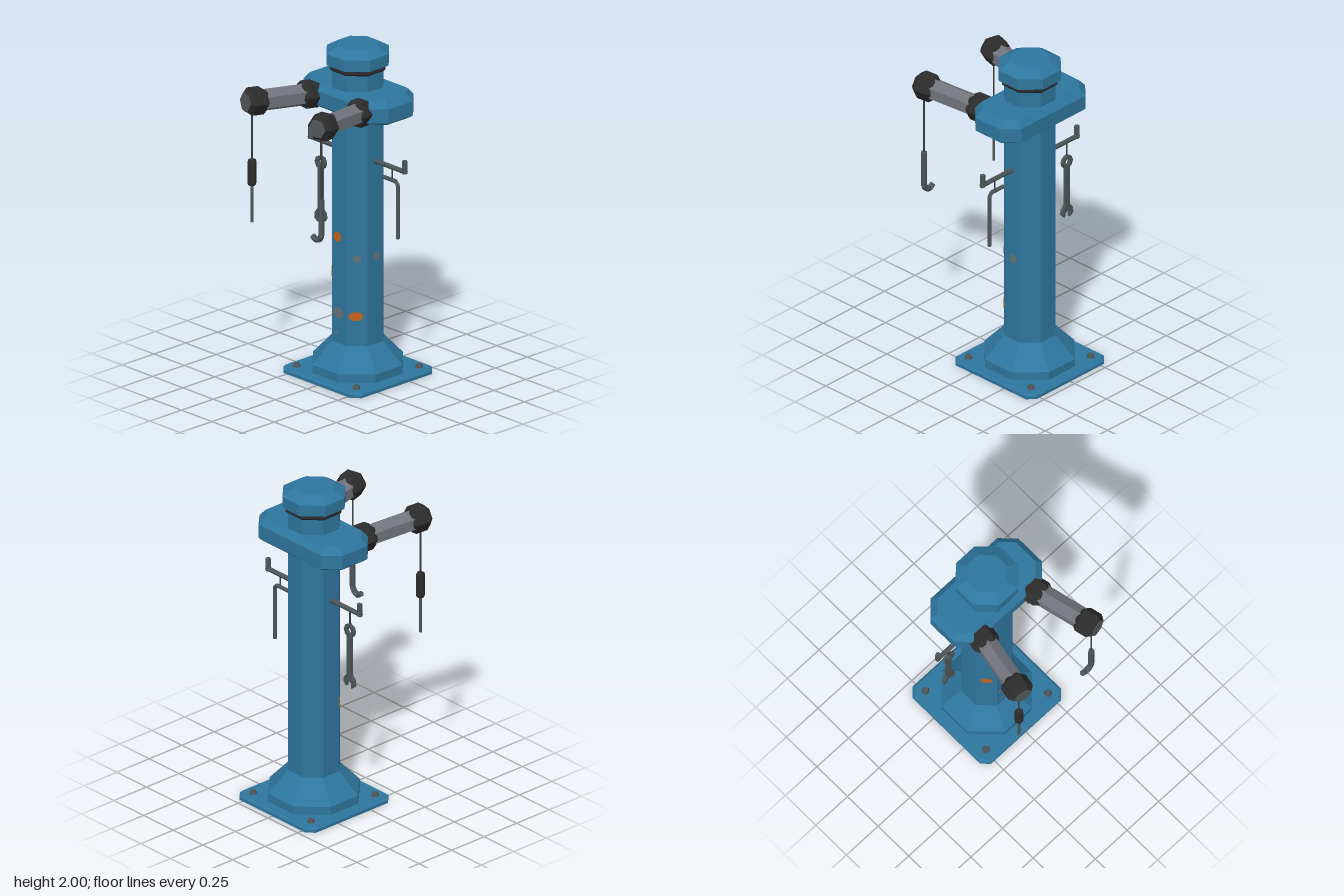
import * as THREE from 'three';

const mat = (name, color) => {
  const m = new THREE.MeshStandardMaterial({ color });
  m.name = name;
  return m;
};
const V = (x, y, z) => new THREE.Vector3(x, y, z);
const CZ = -0.146; // z of the column axis

export function createModel() {
  const blue = mat('bluePaint', 0x2e769e);
  const rubber = mat('blackRubber', 0x2c2c2c);
  const grey = mat('greySleeve', 0x70737c);
  const steel = mat('darkSteel', 0x4e5558);
  const wire = mat('wire', 0x3a3e40);
  const rust = mat('rust', 0xc4601c);
  const bare = mat('bareMetal', 0x66727a);

  const root = new THREE.Group();
  root.name = 'toolPost';

  // Adds a faceted mesh
  function add(name, geo, material, parent = root) {
    const g = geo.index ? geo.toNonIndexed() : geo;
    g.computeVertexNormals();
    const m = new THREE.Mesh(g, material);
    m.name = name;
    parent.add(m);
    return m;
  }

  // Faceted turned solid; profile runs bottom to top as [radius, height]
  const turned = (profile, sides, start) =>
    new THREE.LatheGeometry(profile.map(([r, y]) => new THREE.Vector2(r, y)), sides, start);

  // Eight-sided solid with flats to the front; profile gives flat-to-axis distance
  function octagon(name, profile, material) {
    const k = 1 / Math.cos(Math.PI / 8);
    add(name, turned(profile.map(([a, y]) => [a * k, y]), 8, Math.PI / 8), material).position.z = CZ;
  }

  // Slab from stacked rectangles with cut corners: [halfX, halfZ, cut, y]
  function slab(name, rings, material, z) {
    const pos = [], idx = [];
    for (const [w, d, c, y] of rings)
      for (const [x, zz] of [[w - c, d], [w, d - c], [w, c - d], [w - c, -d],
        [c - w, -d], [-w, c - d], [-w, d - c], [c - w, d]]) pos.push(x, y, zz);
    const top = (rings.length - 1) * 8;
    for (let r = 0; r < top; r += 8)
      for (let i = 0; i < 8; i++) {
        const j = (i + 1) % 8;
        idx.push(r + i, r + j, r + 8 + j, r + i, r + 8 + j, r + 8 + i);
      }
    for (let i = 1; i < 7; i++) idx.push(0, i + 1, i, top, top + i, top + i + 1);
    const g = new THREE.BufferGeometry();
    g.setAttribute('position', new THREE.Float32BufferAttribute(pos, 3));
    g.setIndex(idx);
    add(name, g, material).position.z = z;
  }

  // Straight bars joined along a list of points
  function bars(name, points, r, material, sides = 6, parent = root) {
    for (let i = 0; i < points.length - 1; i++) {
      const [a, b] = [points[i], points[i + 1]];
      const dir = b.clone().sub(a);
      const m = add(name, new THREE.CylinderGeometry(r, r, dir.length(), sides), material, parent);
      m.position.copy(a).add(b).multiplyScalar(0.5);
      m.quaternion.setFromUnitVectors(V(0, 1, 0), dir.normalize());
    }
  }

  // Base plate, flared foot and column
  slab('basePlate', [[0.32, 0.32, 0.043, 0], [0.32, 0.32, 0.043, 0.018], [0.307, 0.307, 0.04, 0.03]], blue, CZ);
  octagon('foot', [[0, 0.02], [0.256, 0.02], [0.256, 0.08], [0.145, 0.21], [0, 0.21]], blue);
  octagon('column', [[0, 0.2], [0.145, 0.2], [0.145, 1.88], [0, 1.88]], blue);
  for (const x of [-0.245, 0.245])
    for (const z of [-0.393, 0.1])
      add('bolt', new THREE.CylinderGeometry(0.016, 0.025, 0.022, 6, 1, false, Math.PI / 2), steel).position.set(x, 0.04, z);

  // Collar, seal and cap
  slab('collar', [[0.33, 0.166, 0.08, 1.615], [0.348, 0.182, 0.085, 1.63], [0.348, 0.182, 0.085, 1.715],
    [0.312, 0.146, 0.065, 1.757]], blue, -0.151);
  octagon('seal', [[0, 1.855], [0.15, 1.855], [0.158, 1.865], [0.158, 1.9], [0, 1.9]], rubber);
  octagon('cap', [[0, 1.892], [0.177, 1.892], [0.177, 1.96], [0.113, 2], [0, 2]], blue);

  // Padded arms
  for (const s of [-1, 1]) {
    const arm = new THREE.Group();
    arm.name = s > 0 ? 'leftArm' : 'rightArm';
    arm.position.set(s * 0.194, 1.676, -0.026);
    arm.lookAt(V(s * 0.296, 1.718, 0.462));
    root.add(arm);
    const part = (name, profile, start, m) =>
      add(name, turned(profile, 6, start).rotateX(Math.PI / 2), m, arm);
    part('armSocket', [[0, 0], [0.06, 0], [0.083, 0.025], [0.083, 0.105], [0.066, 0.13], [0, 0.13]], Math.PI / 2, rubber);
    part('armSleeve', [[0, 0.1], [0.066, 0.1], [0.066, 0.4], [0, 0.4]], 0, grey);
    part('armTip', [[0, 0.37], [0.066, 0.37], [0.083, 0.39], [0.083, 0.465], [0.06, 0.492], [0, 0.492]], Math.PI / 2, rubber);
    part('tipPlate', [[0, 0.488], [0.057, 0.488], [0.057, 0.495], [0, 0.495]], Math.PI / 2, steel);
  }

  // Screwdriver hanging from the right arm
  const AX = 0.286, AZ = 0.412;
  bars('screwdriverCord', [V(-AX, 1.66, AZ), V(-AX, 1.35, AZ)], 0.005, wire);
  add('screwdriverHandle', turned([[0, 1.205], [0.022, 1.205], [0.027, 1.22], [0.027, 1.345], [0.022, 1.36], [0, 1.36]],
    6, Math.PI / 2), rubber).position.set(-AX, 0, AZ);
  bars('screwdriverShaft', [V(-AX, 1.21, AZ), V(-AX, 0.98, AZ)], 0.008, steel);

  // Pry hook hanging from the left arm
  bars('hookCord', [V(AX, 1.66, AZ), V(AX, 1.26, AZ)], 0.005, wire);
  bars('pryHook', [V(AX, 1.275, AZ), V(AX, 1.055, AZ), V(0.268, 1.026, AZ), V(0.24, 1.018, AZ), V(0.213, 1.036, AZ)], 0.018, steel);

  // Side rails with upturned ends
  for (const s of [-1, 1]) {
    bars('sideRail', [V(s * 0.13, 1.323, CZ), V(s * 0.398, 1.323, CZ)], 0.014, steel);
    bars('railStop', [V(s * 0.386, 1.312, CZ), V(s * 0.386, 1.39, CZ)], 0.016, steel);
  }

  // Wrench on the right rail
  const wrench = new THREE.Group();
  wrench.name = 'wrench';
  wrench.position.set(-0.303, 0, CZ);
  root.add(wrench);
  bars('wrenchCord', [V(0, 1.32, 0), V(0, 1.22, 0)], 0.005, wire, 6, wrench);
  const flat = (name, shape) => add(name, new THREE.ExtrudeGeometry(shape,
    { depth: 0.02, bevelEnabled: false, curveSegments: 8 }).translate(0, 0, -0.01), steel, wrench);
  const circle = (r, n) => Array.from({ length: n }, (_, i) => new THREE.Vector2(
    r * Math.cos(i / n * 2 * Math.PI), r * Math.sin(i / n * 2 * Math.PI)));
  const ring = new THREE.Shape(circle(0.042, 8));
  ring.holes.push(new THREE.Path(circle(0.021, 6)));
  flat('wrenchRing', ring).position.y = 1.19;
  add('wrenchHandle', new THREE.BoxGeometry(0.034, 0.26, 0.018), steel, wrench).position.set(0, 1.03, 0);
  const jaw = new THREE.Shape([[-0.017, 0.91], [-0.04, 0.88], [-0.045, 0.845], [-0.018, 0.825], [-0.02, 0.86],
    [0, 0.872], [0.019, 0.862], [0.024, 0.832], [0.044, 0.855], [0.04, 0.885], [0.017, 0.91]]
    .map(([x, y]) => new THREE.Vector2(x, y)));
  flat('wrenchJaw', jaw);

  // Angled key on the left rail
  bars('keyCord', [V(0.285, 1.32, CZ), V(0.285, 1.24, CZ)], 0.005, wire);
  bars('angledKey', [V(0.215, 1.245, CZ), V(0.312, 1.245, CZ), V(0.33, 1.225, CZ), V(0.33, 0.9, CZ)], 0.012, steel);

  // Worn paint patches: face angle, sideways offset, height, half width, half height
  const patches = [
    [rust, 0, -0.015, 0.855, 0.031, 0.031], [rust, -45, 0, 0.62, 0.036, 0.033],
    [rust, 45, -0.008, 0.39, 0.044, 0.028], [bare, 0, -0.006, 0.395, 0.045, 0.034],
    [bare, 45, 0, 0.74, 0.025, 0.022], [bare, 90, 0.01, 0.742, 0.028, 0.027],
    [bare, 0, -0.02, 0.268, 0.012, 0.011],
  ];
  for (const [m, deg, u, y, w, h] of patches) {
    const face = new THREE.Group();
    face.name = 'wornPatch';
    face.position.set(0, y, CZ);
    face.rotation.y = deg * Math.PI / 180;
    root.add(face);
    add('paintChip', new THREE.CylinderGeometry(1, 1, 0.005, 8, 1, false, 0.3).rotateX(Math.PI / 2).scale(w, h, 1),
      m, face).position.set(u, 0, 0.145);
  }
  return root;
}
